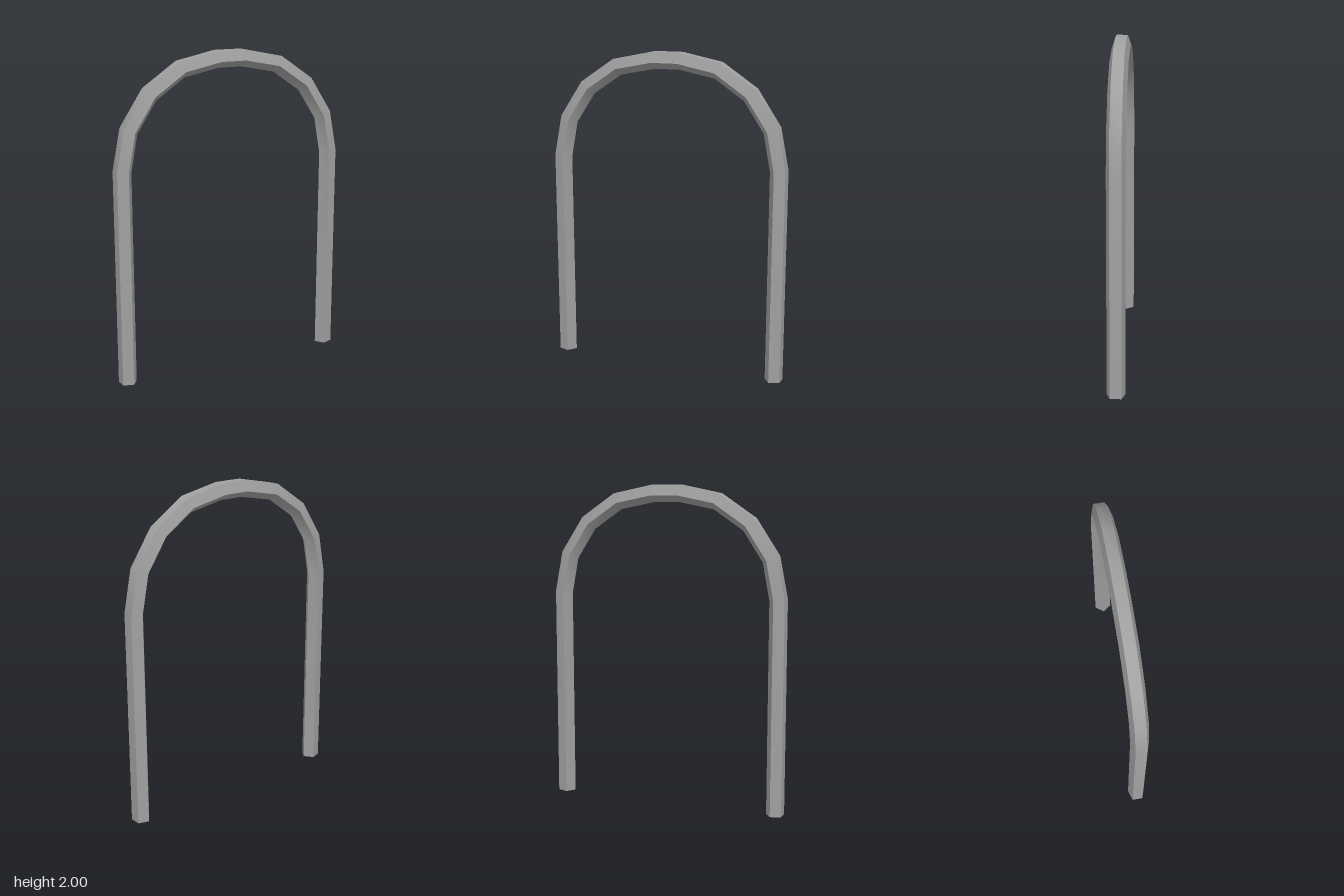
import * as THREE from 'three';
import { toCreasedNormals } from 'three/addons/utils/BufferGeometryUtils.js';

const SIDES = 5;          // pentagonal tube
const TUBE_R = 0.058;
const SPRING_Y = 1.32;    // height where the arch starts
const BEND_R = 0.633;
const HALF_FLAT = 0.085;  // half of the straight piece at the crown

// Centre line from the left foot over the crown to the right foot;
// each station holds x, y and the angle of its outward direction.
function archStations() {
  const half = [{ x: HALF_FLAT + BEND_R, y: 0, tilt: 0 }];
  const tilts = [5.6, 22.5, 45, 67.5, 84.4];
  tilts.forEach((deg, i) => {
    const a = (i / 4) * Math.PI / 2;
    half.push({
      x: HALF_FLAT + BEND_R * Math.cos(a),
      y: SPRING_Y + BEND_R * Math.sin(a),
      tilt: THREE.MathUtils.degToRad(deg),
    });
  });
  const mirrored = half.map((s) => ({ x: -s.x, y: s.y, tilt: Math.PI - s.tilt })).reverse();
  return [...half, ...mirrored];
}

// Open tube: a flat side faces outward and a corner faces inward.
function archGeometry() {
  const stations = archStations();
  const positions = [];
  const index = [];
  stations.forEach((s, i) => {
    for (let k = 0; k < SIDES; k++) {
      const a = ((k + 0.5) / SIDES) * Math.PI * 2;
      const out = TUBE_R * Math.cos(a);
      positions.push(s.x + out * Math.cos(s.tilt), s.y + out * Math.sin(s.tilt), TUBE_R * Math.sin(a));
      if (i < stations.length - 1) {
        const k2 = (k + 1) % SIDES;
        const p = i * SIDES + k, q = i * SIDES + k2;
        index.push(p, p + SIDES, q + SIDES, p, q + SIDES, q);
      }
    }
  });
  const geometry = new THREE.BufferGeometry();
  geometry.setAttribute('position', new THREE.Float32BufferAttribute(positions, 3));
  geometry.setIndex(index);
  // Smooth along the bend, sharp between the five sides
  return toCreasedNormals(geometry, 0.7);
}

export function createModel() {
  const group = new THREE.Group();
  group.name = 'arch';
  // Dark grey tube
  const material = new THREE.MeshStandardMaterial({ color: 0xa0a0a0, side: THREE.DoubleSide });
  const tube = new THREE.Mesh(archGeometry(), material);
  tube.name = 'archTube';
  group.add(tube);
  return group;
}
